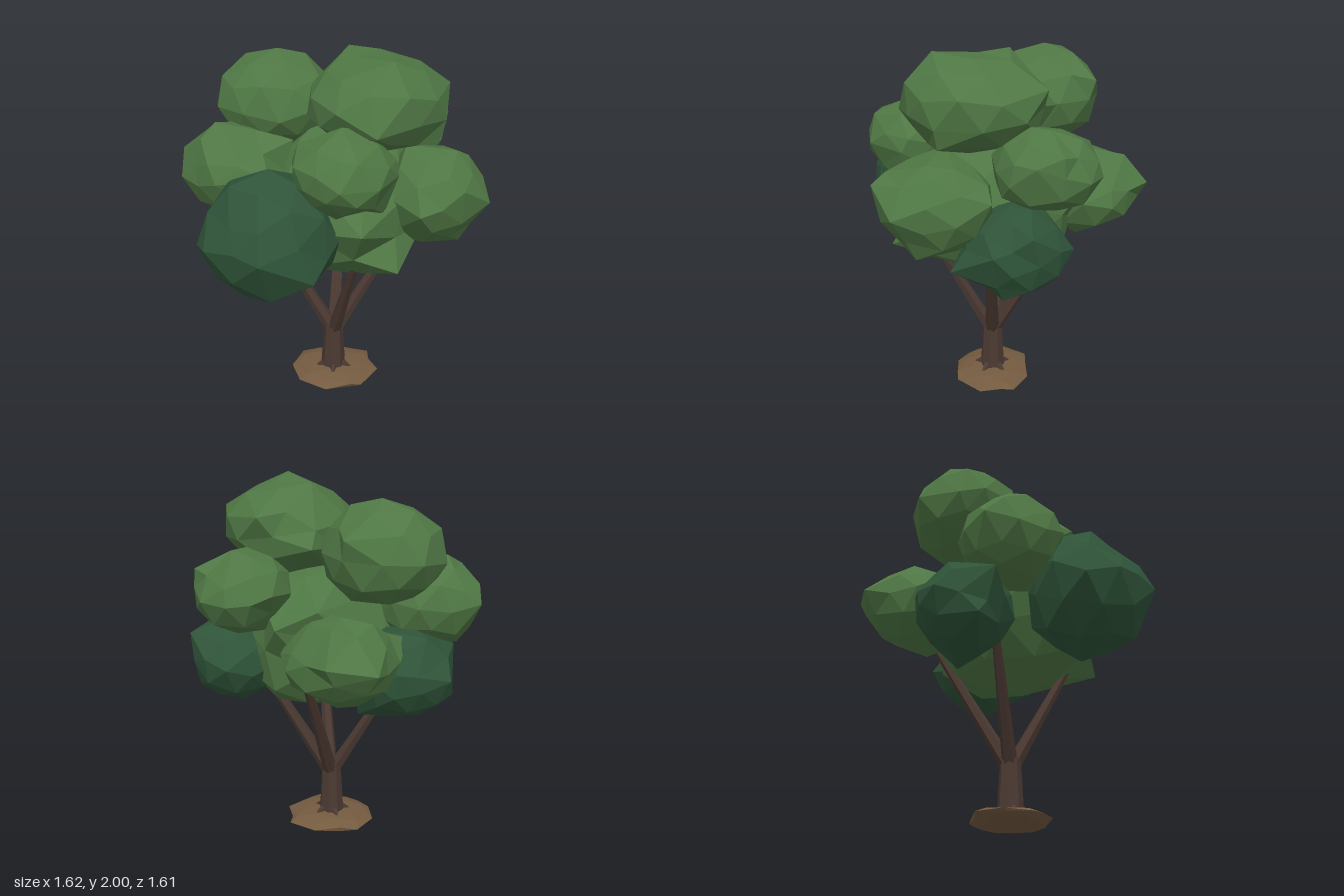
import * as THREE from 'three';
import { mergeVertices } from 'three/addons/utils/BufferGeometryUtils.js';

const paint = (name, color) => {
  const m = new THREE.MeshStandardMaterial({ color });
  m.name = name;
  return m;
};

// Small seeded random generator
function seeded(seed) {
  let s = seed * 7919 + 17;
  return () => {
    s = (s * 16807) % 2147483647;
    return s / 2147483647;
  };
}

// Give every face its own flat normal
function faceted(geometry) {
  const g = geometry.index ? geometry.toNonIndexed() : geometry;
  g.computeVertexNormals();
  return g;
}

// Lumpy icosphere; the vertex facing each peak is pulled out to it
function lump(seed, rough, centre, radii, peaks) {
  const random = seeded(seed);
  for (let i = 0; i < 5; i++) random();
  let g = new THREE.IcosahedronGeometry(1, 1);
  g.deleteAttribute('normal');
  g.deleteAttribute('uv');
  g = mergeVertices(g, 1e-3);
  g.rotateX(random() * 3).rotateY(random() * 6);
  const c = new THREE.Vector3(...centre);
  const r = new THREE.Vector3(...radii);
  const p = g.attributes.position;
  const points = [];
  for (let i = 0; i < p.count; i++) {
    const dir = new THREE.Vector3().fromBufferAttribute(p, i);
    points.push({ dir, at: dir.clone().multiplyScalar(1 + (random() - 0.5) * rough).multiply(r).add(c), free: true });
  }
  for (const peak of peaks) {
    const at = new THREE.Vector3(...peak);
    const aim = at.clone().sub(c).divide(r).normalize();
    const near = points.filter((q) => q.free).reduce((a, b) => (b.dir.dot(aim) > a.dir.dot(aim) ? b : a));
    near.at = at;
    near.free = false;
  }
  points.forEach((q, i) => p.setXYZ(i, q.at.x, q.at.y, q.at.z));
  return faceted(g);
}

// Tapered round limb between two points
function limb(a, b, r0, r1, sides) {
  const from = new THREE.Vector3(...a);
  const dir = new THREE.Vector3(...b).sub(from);
  const length = dir.length();
  const g = new THREE.CylinderGeometry(r1, r0, length, sides);
  g.translate(0, length / 2, 0);
  g.applyQuaternion(new THREE.Quaternion().setFromUnitVectors(new THREE.Vector3(0, 1, 0), dir.normalize()));
  g.translate(from.x, from.y, from.z);
  return faceted(g);
}

export function createModel() {
  const tree = new THREE.Group();
  tree.name = 'tree';
  const leaf = paint('leaf green', 0x4f7744);
  const darkLeaf = paint('dark leaf green', 0x2f5439);
  const bark = paint('bark brown', 0x4b3932);
  const soil = paint('soil brown', 0x745b40);

  const add = (name, geometry, material) => {
    const mesh = new THREE.Mesh(geometry, material);
    mesh.name = name;
    tree.add(mesh);
  };

  // Soil mound
  add('soilMound', lump(3, 0.1, [0, 0.053, 0], [0.235, 0.043, 0.21],
    [[-0.25, 0.055, 0], [0.26, 0.055, 0], [-0.03, 0.05, 0.22], [0.03, 0.05, -0.22], [0, 0, 0],
      [0.19, 0.055, -0.18], [-0.19, 0.05, 0.14], [-0.2, 0.055, -0.15], [0.17, 0.05, 0.16]]), soil);

  // Trunk with a slight taper, and short roots at its foot
  add('trunk', limb([-0.005, 0.04, 0], [-0.002, 0.37, 0], 0.073, 0.055, 8), bark);
  for (let i = 0; i < 5; i++) {
    const a = (i / 5) * Math.PI * 2 + 0.3;
    add('root', limb([0, 0.13, 0], [Math.cos(a) * 0.11, 0.075, Math.sin(a) * 0.11], 0.035, 0.008, 5), bark);
  }

  // Branches fanning out into the crown
  const branches = [
    ['frontBranch', [0.15, 0.99, 0.33]],
    ['rightBranch', [0.39, 0.99, -0.1]],
    ['backBranch', [0.015, 1.06, -0.43]],
    ['leftBranch', [-0.38, 0.97, -0.03]],
  ];
  for (const [name, tip] of branches) add(name, limb([0, 0.32, 0], tip, 0.042, 0.02, 6), bark);

  // Crown: overlapping lumps of foliage, each with a centre, radii and outermost peaks
  let seed = 20;
  const foliage = (name, material, centre, radii, ...peaks) =>
    add(name, lump(seed++, 0.1, centre, radii, peaks), material);

  foliage('coreFoliage', leaf, [0.07, 1.18, 0], [0.46, 0.41, 0.48],
    [0.03, 0.76, -0.02], [0.36, 0.97, 0.45], [0.18, 1.22, 0.56], [0.13, 1.32, -0.54], [-0.08, 1.42, -0.5],
    [0.02, 0.87, -0.32], [0.32, 0.86, 0.02], [-0.17, 1.54, 0.08]);
  foliage('topFoliage', leaf, [0.23, 1.74, 0.03], [0.355, 0.25, 0.375],
    [0.07, 1.99, -0.11], [0.31, 2, 0.22], [0.59, 1.84, 0], [-0.13, 1.68, 0.1], [0.24, 1.68, 0.43],
    [0.28, 1.84, -0.36], [0, 1.69, -0.34], [0.55, 1.58, 0.12]);
  foliage('upperLeftFoliage', leaf, [-0.33, 1.67, -0.2], [0.32, 0.26, 0.3],
    [-0.32, 1.94, -0.2], [-0.21, 1.78, -0.51], [-0.65, 1.63, -0.18], [-0.58, 1.78, -0.3], [0, 1.72, -0.2], [-0.27, 1.63, 0.1]);
  foliage('leftFoliage', leaf, [-0.52, 1.37, 0.07], [0.28, 0.24, 0.27],
    [-0.61, 1.62, 0.08], [-0.81, 1.39, -0.02], [-0.7, 1.42, 0.22], [-0.57, 1.38, 0.35], [-0.68, 1.16, 0.05],
    [-0.3, 1.4, 0.31], [-0.2, 1.55, 0.12]);
  foliage('frontFoliage', leaf, [0.08, 1.49, 0.4], [0.26, 0.21, 0.25],
    [0.07, 1.72, 0.38], [-0.18, 1.43, 0.3], [0.08, 1.5, 0.67], [0.35, 1.48, 0.38], [0.16, 1.62, 0.6],
    [0.28, 1.28, 0.4], [-0.15, 1.62, 0.34], [0.05, 1.28, 0.48]);
  foliage('rightFoliage', leaf, [0.53, 1.3, 0.15], [0.26, 0.245, 0.3],
    [0.81, 1.3, 0.27], [0.64, 1.53, 0.15], [0.67, 1.42, 0.42], [0.46, 1.3, 0.48], [0.67, 1.05, 0.2],
    [0.62, 1.36, -0.17], [0.38, 1.55, 0.14], [0.4, 1.08, 0.26]);
  foliage('backRightFoliage', leaf, [0.36, 1.47, -0.37], [0.25, 0.21, 0.27],
    [0.34, 1.45, -0.65], [0.13, 1.5, -0.56], [0.56, 1.6, -0.5], [0.61, 1.55, -0.38], [0.4, 1.68, -0.4]);
  foliage('backLeftFoliage', leaf, [-0.19, 1.18, -0.47], [0.29, 0.23, 0.29],
    [-0.21, 1.24, -0.81], [-0.44, 1.2, -0.72], [0.01, 1.25, -0.65], [-0.2, 1.39, -0.68], [-0.2, 0.97, -0.58],
    [0.11, 1.2, -0.52], [-0.47, 1.25, -0.22]);
  foliage('darkFrontFoliage', darkLeaf, [-0.29, 1.15, 0.44], [0.34, 0.34, 0.32],
    [-0.29, 1.17, 0.8], [-0.66, 1.1, 0.46], [0.07, 1.17, 0.48], [-0.29, 1.51, 0.42], [-0.25, 0.8, 0.4], [-0.04, 1.03, 0.7], [-0.45, 1.28, 0.64]);
  foliage('darkRightFoliage', darkLeaf, [0.45, 1.07, -0.24], [0.25, 0.24, 0.27],
    [0.71, 1.12, -0.2], [0.66, 1.22, -0.38], [0.6, 0.85, -0.22], [0.5, 1.31, -0.22], [0.4, 1.08, -0.53],
    [0.66, 1, 0.03]);
  foliage('darkLeftFoliage', darkLeaf, [-0.44, 1.05, -0.18], [0.26, 0.24, 0.26],
    [-0.71, 1.05, -0.28], [-0.69, 0.9, -0.06], [-0.56, 1.1, -0.4], [-0.22, 0.81, -0.25], [-0.67, 1.16, 0.02]);

  return tree;
}
